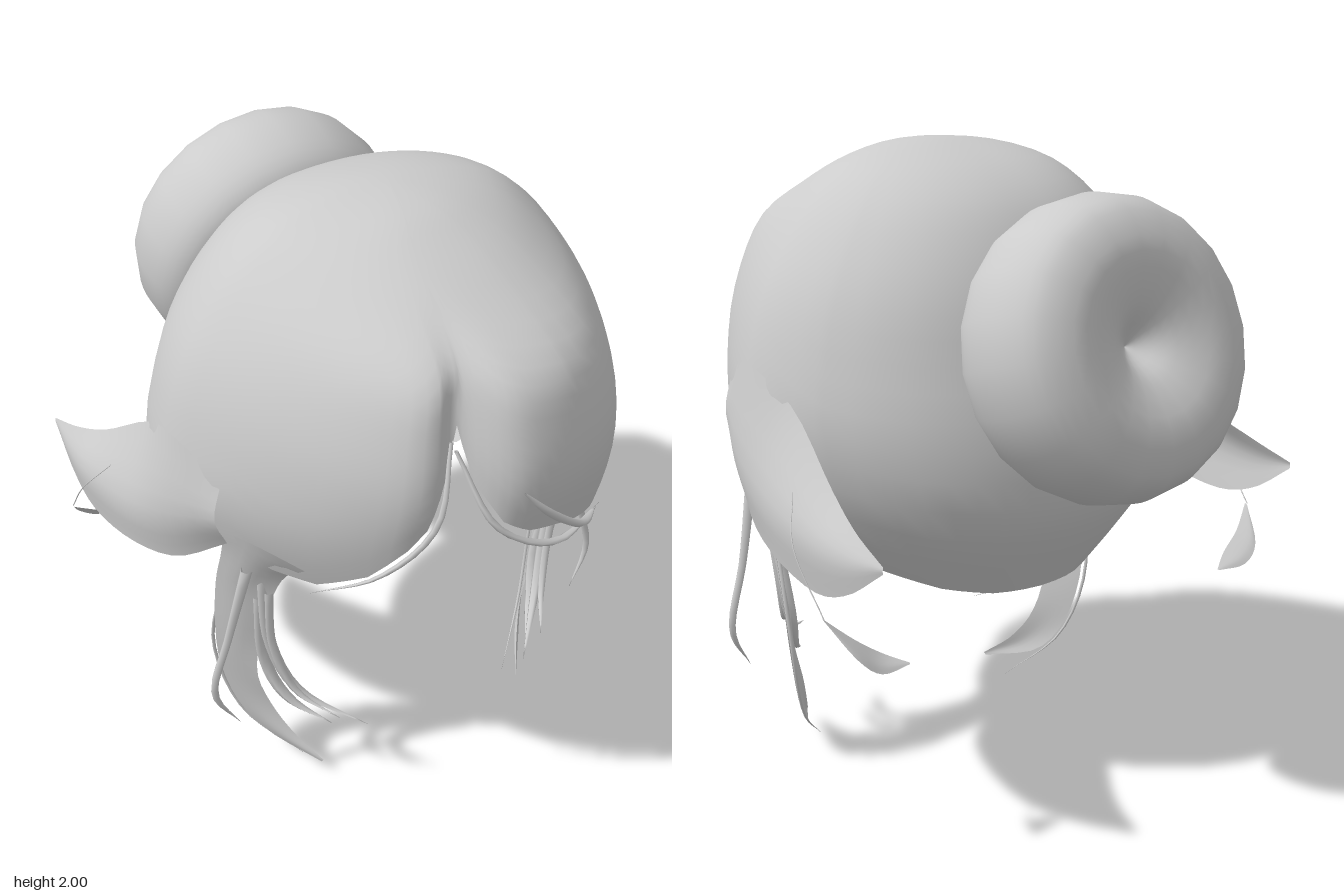
import * as THREE from 'three';
import { mergeVertices } from 'three/addons/utils/BufferGeometryUtils.js';

const hair = new THREE.MeshStandardMaterial({ color: 0xcccccc, side: THREE.DoubleSide });
hair.name = 'hair grey';

const V = (p) => new THREE.Vector3(...p);
const spline = (pts) => new THREE.CatmullRomCurve3(pts.map(V), false, 'catmullrom', 0.5);

function mesh(name, geometry) {
  const m = new THREE.Mesh(geometry, hair);
  m.name = name;
  return m;
}

// Smooth surface through a grid of points (rows of equal length)
function gridGeometry(rows) {
  const n = rows[0].length, index = [];
  for (let i = 0; i < rows.length - 1; i++) {
    for (let j = 0; j < n - 1; j++) {
      const a = i * n + j, b = a + n;
      index.push(a, a + 1, b, b, a + 1, b + 1);
    }
  }
  let g = new THREE.BufferGeometry();
  g.setAttribute('position', new THREE.Float32BufferAttribute(rows.flat(2), 3));
  g.setIndex(index);
  g = mergeVertices(g, 1e-4);
  g.computeVertexNormals();
  return g;
}

// Curved sheet: splines along the rows, then across them
function sheet(rows, nu = 12, nv = 6) {
  const across = rows.map((r) => spline(r).getPoints(nv));
  const columns = across[0].map((_, j) => spline(across.map((r) => r[j].toArray())).getPoints(nu));
  return gridGeometry(columns.map((c) => c.map((p) => p.toArray())));
}

// Tapered strand: each station is [x, y, z, half width]
function strand(stations, sides = 6, steps = 14) {
  const path = spline(stations.map((s) => s.slice(0, 3)));
  const size = spline(stations.map((s) => [s[3], 0, 0]));
  const rows = [];
  for (let i = 0; i <= steps; i++) {
    const p = path.getPoint(i / steps), r = Math.max(size.getPoint(i / steps).x, 0);
    const row = [];
    for (let j = 0; j <= sides; j++) {
      const a = (j % sides) / sides * Math.PI * 2;
      row.push([p.x + r * Math.cos(a), Math.max(p.y, 0), p.z + r * Math.sin(a)]);
    }
    rows.push(row);
  }
  return gridGeometry(rows);
}

// Head of hair: stacked ovals cut off at a hem that varies around the head
function capGeometry() {
  // half width, front z, back z at even steps of sqrt(2 - y)
  const profile = spline([
    [0, 0.12, 0.12], [0.19, 0.3, -0.01], [0.36, 0.44, -0.17], [0.475, 0.62, -0.3],
    [0.575, 0.84, -0.39], [0.665, 0.91, -0.46], [0.725, 0.935, -0.51],
    [0.75, 0.88, -0.565], [0.66, 0.8, -0.56], [0.43, 0.7, -0.38],
  ]);
  // angle from the left ear (90 is the front), hem height
  const hem = [
    [-90, 0.64], [-70, 0.645], [-50, 0.67], [-28, 0.73], [-19, 0.81], [-8, 0.92], [5, 1.02], [17, 1.07],
    [25, 1.0], [35, 1.0], [45, 1.05], [56, 1.1], [74, 1.18], [82, 1.22], [90, 1.25], [97, 1.31],
    [103, 1.43], [107, 1.6],
    [110.5, 1.45], [115, 1.3], [129, 1.1], [143, 1.0], [155, 1.0], [163, 1.07], [175, 1.02],
    [188, 0.92], [199, 0.81], [208, 0.73], [230, 0.67], [250, 0.645], [270, 0.64],
  ];
  const rows = [], steps = 24, sub = 3;
  for (let k = 0; k <= (hem.length - 1) * sub; k++) {
    const i = Math.min(Math.floor(k / sub), hem.length - 2), f = k / sub - i;
    const deg = THREE.MathUtils.lerp(hem[i][0], hem[i + 1][0], f);
    const low = THREE.MathUtils.lerp(hem[i][1], hem[i + 1][1], f);
    const c = Math.cos(deg * Math.PI / 180), s = Math.sin(deg * Math.PI / 180);
    // the oval narrows towards the face and is fuller at the back
    const across = s > 0 ? c * (1 - 0.26 * s * Math.abs(c)) : Math.sign(c) * Math.abs(c) ** 0.9;
    const row = [];
    for (let j = 0; j <= steps; j++) {
      const u = Math.sqrt(2 - low) * j / steps;
      const p = profile.getPoint(Math.min(u / 1.17, 1));
      // groove at the parting of the fringe
      const groove = 1 - 0.12 * Math.exp(-(((deg - 107) / 8) ** 2)) * THREE.MathUtils.smoothstep(u, 0.35, 0.6);
      const z = 0.12 + (s > 0 ? (p.y - 0.12) * s * groove : (0.12 - p.z) * s);
      row.push([p.x * across, 2 - u * u, z]);
    }
    rows.push(row);
  }
  return gridGeometry(rows);
}

// Round bun with a dimple, leaning back
function bunGeometry() {
  const outline = spline([
    [0, -0.2, 0], [0.16, -0.205, 0], [0.3, -0.205, 0], [0.39, -0.18, 0], [0.44, -0.11, 0], [0.455, 0, 0],
    [0.435, 0.1, 0], [0.38, 0.175, 0], [0.26, 0.21, 0], [0.12, 0.165, 0], [0.04, 0.1, 0], [0, 0.07, 0],
  ]).getPoints(33).map((p) => new THREE.Vector2(Math.max(p.x, 0), p.y));
  const g = new THREE.LatheGeometry(outline, 20);
  g.rotateX(-1.3);
  g.translate(0, 1.45, -0.67);
  return g;
}

// Everything that hangs at one side of the face, built for the left
function sideHair() {
  const g = new THREE.Group();
  // Swept-back lock over the ear
  g.add(mesh('earLock', sheet([
    [[0.67, 1.3, 0.32], [0.7, 1.17, 0.32], [0.655, 1.05, 0.3]],
    [[0.735, 1.37, 0.12], [0.785, 1.1, 0.12], [0.745, 0.91, 0.12]],
    [[0.715, 1.27, -0.1], [0.815, 1.02, -0.1], [0.8, 0.84, -0.1]],
    [[0.755, 1.1, -0.35], [0.835, 0.96, -0.35], [0.82, 0.8, -0.35]],
    [[0.79, 1.02, -0.52], [0.83, 0.94, -0.52], [0.82, 0.84, -0.52]],
    [[0.81, 0.965, -0.68], [0.812, 0.955, -0.68], [0.81, 0.945, -0.68]],
  ], 18, 8)));
  // Long curved lock in front of the ear, growing out of the hem
  g.add(mesh('longLock', sheet([
    [[0.53, 1.07, 0.55], [0.615, 1.11, 0.43], [0.665, 1.1, 0.3]],
    [[0.53, 0.95, 0.42], [0.61, 0.96, 0.34], [0.645, 0.96, 0.23]],
    [[0.54, 0.8, 0.34], [0.605, 0.8, 0.25], [0.64, 0.8, 0.165]],
    [[0.54, 0.6, 0.26], [0.595, 0.6, 0.2], [0.635, 0.6, 0.125]],
    [[0.54, 0.4, 0.22], [0.585, 0.4, 0.16], [0.62, 0.4, 0.11]],
    [[0.5, 0.25, 0.23], [0.535, 0.23, 0.19], [0.575, 0.22, 0.14]],
    [[0.45, 0.14, 0.29], [0.48, 0.12, 0.26], [0.5, 0.1, 0.21]],
    [[0.39, 0.06, 0.38], [0.392, 0.055, 0.378], [0.394, 0.05, 0.376]],
  ], 24, 6)));
  // Thin wisps around it
  [
    [[0.56, 0.9, 0.33, 0.02], [0.53, 0.6, 0.3, 0.02], [0.46, 0.4, 0.36, 0.016], [0.3, 0.31, 0.53, 0]],
    [[0.56, 0.8, 0.3, 0.02], [0.53, 0.5, 0.25, 0.02], [0.48, 0.34, 0.31, 0.018], [0.38, 0.27, 0.43, 0]],
    [[0.55, 0.85, 0.35, 0.015], [0.53, 0.6, 0.32, 0.014], [0.48, 0.42, 0.37, 0.012], [0.39, 0.36, 0.5, 0]],
    [[0.61, 0.95, 0.33, 0.02], [0.67, 0.68, 0.3, 0.014], [0.725, 0.46, 0.29, 0.012], [0.65, 0.31, 0.31, 0]],
    [[0.62, 0.8, 0.18, 0.008], [0.63, 0.47, 0.09, 0.006], [0.56, 0.18, 0.14, 0.005], [0.4, 0, 0.28, 0]],
    [[0.8, 1.06, -0.22, 0.002], [0.865, 0.93, -0.32, 0.002], [0.86, 0.76, -0.46, 0.002]],
  ].forEach((s) => g.add(mesh('wisp', strand(s))));
  // Loose curl behind the ear lock
  g.add(mesh('looseCurl', sheet([
    [[0.86, 0.76, -0.45], [0.86, 0.758, -0.455], [0.86, 0.755, -0.46]],
    [[0.78, 0.69, -0.49], [0.805, 0.675, -0.53], [0.81, 0.655, -0.55]],
    [[0.7, 0.635, -0.51], [0.73, 0.62, -0.55], [0.74, 0.6, -0.57]],
    [[0.63, 0.6, -0.55], [0.632, 0.599, -0.553], [0.635, 0.598, -0.556]],
  ])));
  return g;
}

export function createModel() {
  const model = new THREE.Group();
  model.name = 'hairstyle';
  model.add(mesh('headHair', capGeometry()), mesh('bun', bunGeometry()));

  const left = sideHair();
  left.name = 'leftSideHair';
  const right = sideHair();
  right.name = 'rightSideHair';
  right.scale.x = -1;
  model.add(left, right);

  // Fine strands along the edge of the fringe
  [
    [[-0.19, 1.53, 0.8, 0.006], [-0.13, 1.33, 0.92, 0.012], [0.08, 1.19, 0.92, 0.016], [0.38, 1.09, 0.74, 0]],
    [[-0.05, 1.42, 0.935, 0.004], [0.05, 1.31, 0.935, 0.018], [0.2, 1.18, 0.88, 0.018], [0.36, 1.09, 0.75, 0]],
    [[-0.2, 1.56, 0.79, 0.006], [-0.27, 1.33, 0.84, 0.01], [-0.39, 1.13, 0.74, 0.01], [-0.52, 0.99, 0.56, 0]],
  ].forEach((s) => model.add(mesh('fringeStrand', strand(s))));
  return model;
}
